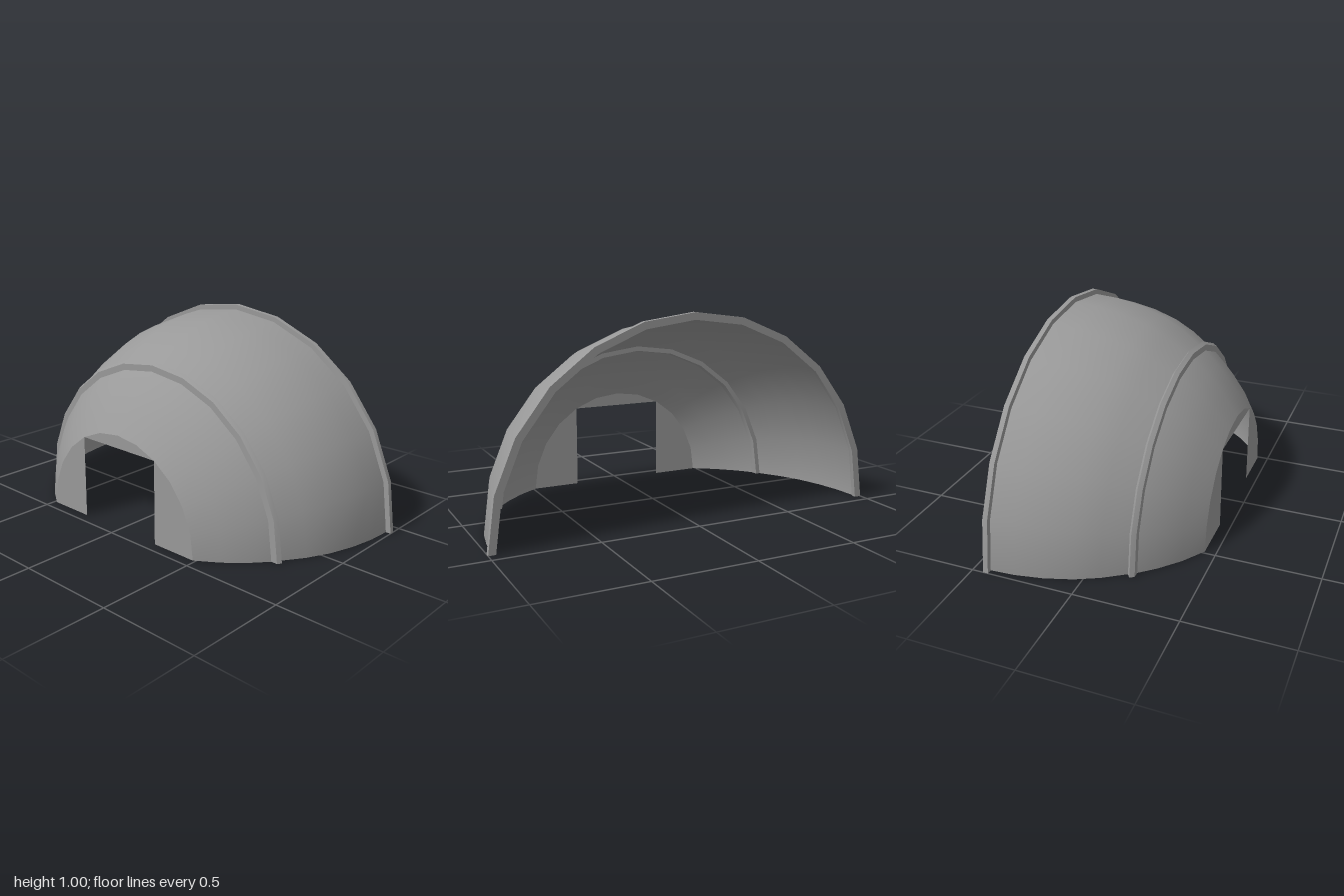
import * as THREE from 'three';
import { toCreasedNormals } from 'three/addons/utils/BufferGeometryUtils.js';

const SEGMENTS = 12;
const FRONT_Z = 0.445;
const FRONT_R = 0.487;

export function createModel() {
  const group = new THREE.Group();
  const material = new THREE.MeshStandardMaterial({ color: 0x999999, side: THREE.DoubleSide });

  const add = (geometry, name, parent = group) => {
    const mesh = new THREE.Mesh(geometry, material);
    mesh.name = name;
    parent.add(mesh);
    return mesh;
  };

  // Half turn of a [radius, z] profile over the ground, around the z axis
  const arch = (profile) =>
    new THREE.LatheGeometry(
      profile.map(([r, z]) => new THREE.Vector2(r, z)),
      SEGMENTS, Math.PI / 2, Math.PI
    ).rotateX(Math.PI / 2);

  // Solid arched rib with its two feet closed
  const addRib = (profile, name) => {
    const rib = new THREE.Group();
    rib.name = name;
    group.add(rib);
    add(toCreasedNormals(arch([...profile, profile[0]]), 0.5), name + 'Arch', rib);
    const outline = new THREE.Shape(profile.map(([r, z]) => new THREE.Vector2(r, z)));
    for (const side of [1, -1]) {
      const foot = add(new THREE.ShapeGeometry(outline).rotateX(Math.PI / 2), name + 'Foot', rib);
      foot.scale.x = side;
    }
  };

  // Curved shell: wide canopy at the back, narrower nose at the front
  add(arch([[0.975, -0.43], [0.967, -0.3], [0.943, -0.17], [0.902, -0.04],
    [0.848, 0.07], [0.775, 0.18]]), 'canopyShell');
  add(arch([[0.775, 0.18], [0.755, 0.21], [0.69, 0.285], [0.597, 0.37],
    [FRONT_R, FRONT_Z]]), 'noseShell');

  // Rim round the open back and rib between the shells
  addRib([[0.965, -0.445], [1, -0.445], [1, -0.42], [0.965, -0.42]], 'backRim');
  addRib([[0.755, 0.175], [0.78, 0.175], [0.8, 0.19], [0.787, 0.21], [0.75, 0.21]], 'middleRib');

  // Flat front wall left around a square doorway
  const arcPoints = (from, to) => {
    const points = [];
    for (let i = from; i <= to; i++) {
      const a = (i / SEGMENTS) * Math.PI;
      points.push(new THREE.Vector2(FRONT_R * Math.cos(a), FRONT_R * Math.sin(a)));
    }
    return points;
  };
  const doorHalf = FRONT_R * Math.cos(Math.PI / 3);
  const addPanel = (points, name) =>
    add(new THREE.ShapeGeometry(new THREE.Shape(points)).translate(0, 0, FRONT_Z), name);
  addPanel([new THREE.Vector2(doorHalf, 0), ...arcPoints(0, 4)], 'leftDoorPanel');
  addPanel(arcPoints(4, 8), 'doorLintel');
  addPanel([...arcPoints(8, 12), new THREE.Vector2(-doorHalf, 0)], 'rightDoorPanel');

  return group;
}
